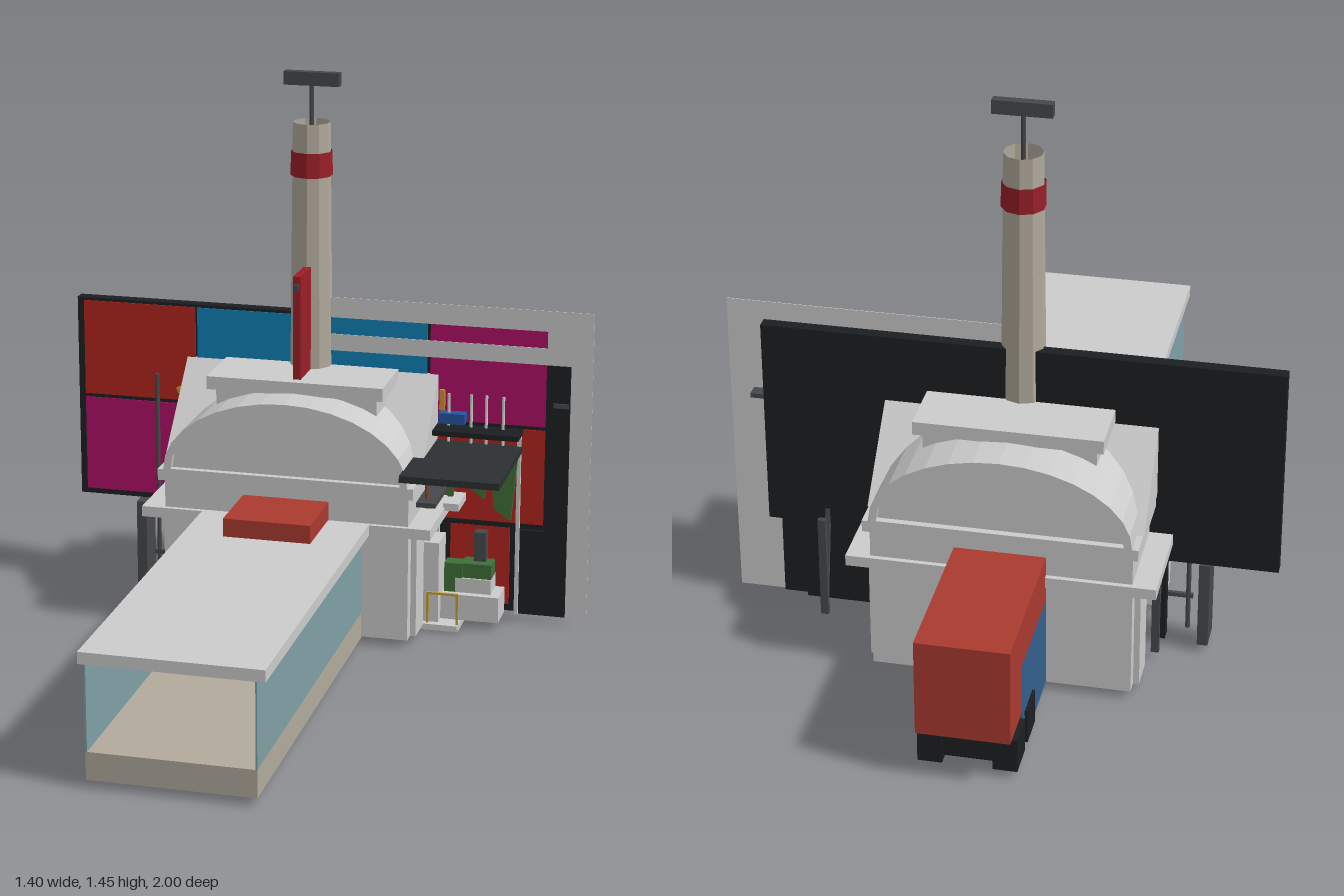
import * as THREE from 'three';

export function createModel() {
  const root = new THREE.Group();
  const CX = -0.05, CZ = -0.305; // centre of the main building
  const mats = {};
  const mat = (color = 0xcccccc) => (mats[color] ??= new THREE.MeshStandardMaterial({
    color, flatShading: true, side: THREE.DoubleSide }));
  const add = (name, geo, color, parent = root) => {
    const m = new THREE.Mesh(geo, mat(color));
    m.name = name;
    parent.add(m);
    return m;
  };
  // box given by its limits on each axis
  const box = (name, x0, x1, y0, y1, z0, z1, color, parent) => {
    const m = add(name, new THREE.BoxGeometry(x1 - x0, y1 - y0, Math.abs(z1 - z0)), color, parent);
    m.position.set((x0 + x1) / 2, (y0 + y1) / 2, (z0 + z1) / 2);
    return m;
  };
  // box centred on the main building
  const block = (name, hx, y0, y1, hz, color, parent) =>
    box(name, CX - hx, CX + hx, y0, y1, CZ - hz, CZ + hz, color, parent);
  const rod = (name, x, y0, y1, z, r, color, parent) => {
    const m = add(name, new THREE.CylinderGeometry(r, r, y1 - y0, 8), color, parent);
    m.position.set(x, (y0 + y1) / 2, z);
    return m;
  };
  const group = (name) => {
    const g = new THREE.Group();
    g.name = name;
    root.add(g);
    return g;
  };
  const RED = 0xaa3a30, BLACK = 0x1c1f21, DARK = 0x45484a, BEIGE = 0xb2aa9c;
  const GLASS = 0x7fa0a6, GREEN = 0x3f7038, CRIMSON = 0x9a1f28;

  // long glazed hall, open at the front
  const hall = group('hall');
  box('hallBase', -0.255, 0.155, 0.02, 0.09, -0.02, 1, BEIGE, hall);
  box('hallRoof', -0.27, 0.175, 0.305, 0.335, -0.02, 1, undefined, hall);
  for (const x of [-0.255, 0.151]) box('hallGlass', x, x + 0.004, 0.09, 0.305, -0.02, 1, GLASS, hall);

  // vehicle passing through the building
  const truck = group('truck');
  box('truckNose', -0.163, 0.065, 0.09, 0.383, -0.1, 0.165, RED, truck);
  box('truckBody', -0.163, 0.065, 0.26, 0.383, -0.865, -0.1, RED, truck);
  box('truckTail', -0.163, 0.065, 0.13, 0.383, -1, -0.865, RED, truck);
  box('truckSide', -0.163, 0.065, 0.02, 0.26, -0.865, -0.4, 0x33608f, truck);
  for (const z of [-0.79, -0.91]) {
    for (const x of [-0.17, 0.012]) box('wheel', x, x + 0.06, 0.02, 0.11, z - 0.045, z + 0.045, BLACK, truck);
  }
  box('axleBox', -0.13, 0.03, 0.04, 0.13, -0.95, -0.865, BLACK, truck);

  // main building: core, piers and cornices
  const house = group('building');
  block('core', 0.3, 0.02, 0.41, 0.25, undefined, house);
  block('facade', 0.23, 0.02, 0.31, 0.275, undefined, house);
  for (const sx of [-1, 1]) for (const sz of [-1, 1]) {
    const x = CX + sx * 0.255, z = CZ + sz * 0.195;
    box('cornerPier', x - 0.07, x + 0.07, 0.02, 0.305, z - 0.08, z + 0.08, undefined, house);
    box('innerPier', x - 0.085, x + 0.085, 0.02, 0.305, z - 0.045, z + 0.045, undefined, house);
  }
  block('lowerCornice', 0.385, 0.305, 0.333, 0.29, undefined, house);
  block('attic', 0.325, 0.333, 0.41, 0.277, undefined, house);
  block('upperCornice', 0.34, 0.41, 0.44, 0.292, undefined, house);

  // vault with recessed end walls
  const arch = (rx, ry) => {
    const s = new THREE.Shape();
    for (let i = 0; i <= 16; i++) {
      const a = Math.PI * i / 16;
      s[i ? 'lineTo' : 'moveTo'](rx * Math.cos(a), ry * Math.sin(a));
    }
    return s;
  };
  const vaultPart = (name, shape, depth) => {
    const geo = new THREE.ExtrudeGeometry(shape, { depth, bevelEnabled: false });
    add(name, geo, undefined, house).position.set(CX, 0.44, CZ - depth / 2);
  };
  const rim = arch(0.325, 0.2);
  rim.holes.push(arch(0.305, 0.182));
  rim.holes[0].curves.forEach((c) => { c.v1.y += 0.003; c.v2.y += 0.003; });
  vaultPart('vault', rim, 0.585);
  vaultPart('vaultEndWalls', arch(0.31, 0.187), 0.55);

  // cross gable
  const tri = new THREE.Shape([[-0.225, 0.44], [0.225, 0.44], [0, 0.665]].map((p) => new THREE.Vector2(...p)));
  const gable = add('crossGable', new THREE.ExtrudeGeometry(tri, { depth: 0.685, bevelEnabled: false }), undefined, house);
  gable.rotation.y = Math.PI / 2;
  gable.position.set(CX - 0.3425, 0, CZ);
  block('roofPlinth', 0.215, 0.58, 0.64, 0.17, undefined, house);
  block('roofSlab', 0.235, 0.635, 0.67, 0.19, undefined, house);

  // chimney with band and cross bar
  const chimney = group('chimney');
  const tube = (name, r0, r1, y0, y1, color) => {
    const m = add(name, new THREE.CylinderGeometry(r1, r0, y1 - y0, 10, 1, true), color, chimney);
    m.position.set(CX, (y0 + y1) / 2, -0.3);
  };
  tube('stack', 0.056, 0.049, 0.66, 1.32, BEIGE);
  tube('band', 0.055, 0.054, 1.18, 1.245, CRIMSON);
  rod('mast', CX, 1.1, 1.42, -0.3, 0.006, DARK, chimney);
  box('crossBar', -0.122, 0.025, 1.415, 1.45, -0.312, -0.288, DARK, chimney);
  box('fin', -0.059, -0.039, 0.665, 0.945, -0.25, -0.143, CRIMSON, chimney);
  box('finLamp', -0.055, -0.043, 0.91, 0.925, -0.143, -0.133, DARK, chimney);

  // billboard with coloured panels
  const board = group('billboard');
  box('backing', -0.7, 0.605, 0.255, 0.808, -0.338, -0.306, BLACK, board);
  const panels = [
    [-0.682, -0.37, 0.54, 0.8, 0xb3261e], [-0.682, -0.37, 0.27, 0.53, 0xb01068],
    [-0.365, 0.262, 0.54, 0.8, 0x1080b8], [0.27, 0.58, 0.54, 0.8, 0xb01068],
    [-0.365, 0.262, 0.27, 0.53, 0xb3261e], [0.27, 0.58, 0.27, 0.53, 0xb3261e]];
  for (const [x0, x1, y0, y1, c] of panels) box('panel', x0, x1, y0, y1, -0.308, -0.303, c, board);
  box('lowerPanel', 0.33, 0.49, 0.04, 0.255, -0.31, -0.305, 0xb3261e, board);
  box('lowerBacking', 0.3, 0.515, 0.02, 0.255, -0.325, -0.311, BLACK, board);

  // flat grey screen in front of the billboard
  const screen = group('screen');
  box('topBand', 0, 0.7, 0.8, 0.855, -0.302, -0.3, undefined, screen);
  box('middleBand', 0, 0.58, 0.71, 0.755, -0.302, -0.3, undefined, screen);
  box('sideBand', 0.58, 0.7, 0.02, 0.8, -0.302, -0.3, undefined, screen);
  box('screenColumn', 0.58, 0.643, 0.02, 0.71, -0.3, -0.295, BLACK, screen);
  box('screenFoot', 0.515, 0.58, 0.02, 0.255, -0.31, -0.295, BLACK, screen);
  box('bracket', 0.6, 0.64, 0.598, 0.61, -0.335, -0.29, DARK, screen);

  // supports under the billboard
  const supports = group('supports');
  box('post', -0.53, -0.503, 0.02, 0.255, -0.345, -0.265, DARK, supports);
  box('post', -0.42, -0.385, 0.02, 0.255, -0.335, -0.3, BLACK, supports);
  box('signStrip', -0.392, -0.38, 0.07, 0.21, -0.3, -0.29, 0x20a0a8, supports);
  rod('pole', -0.468, 0.02, 0.62, -0.27, 0.006, DARK, supports);
  box('rail', -0.48, -0.39, 0.11, 0.121, -0.275, -0.265, DARK, supports);
  for (const x of [-0.405, 0.45]) {
    box('rearPost', x - 0.01, x + 0.01, 0.02, 0.3, -0.4, -0.386, DARK, supports);
    const strut = box('strut', x - 0.006, x + 0.006, 0.015, 0.305, -0.366, -0.354, DARK, supports);
    strut.rotation.x = 0.2;
  }
  for (const y of [0.57, 0.48]) {
    const arrow = box('arrow', -0.42, -0.385, y, y + 0.014, -0.3, -0.288, 0xd09030, supports);
    arrow.rotation.z = 0.4;
  }

  // kiosk on the left side
  const kiosk = group('kiosk');
  box('canopy', 0.262, 0.52, 0.47, 0.488, -0.295, 0.03, 0x2c3032, kiosk);
  box('upperShelf', 0.265, 0.52, 0.518, 0.532, -0.3, -0.23, BLACK, kiosk);
  box('cornerPost', 0.508, 0.518, 0.02, 0.53, -0.295, -0.285, 0xcccccc, kiosk);
  for (const x of [0.325, 0.385, 0.425, 0.47]) rod('pole', x, 0.48, 0.62, -0.285, 0.004, undefined, kiosk);
  box('blueCrate', 0.3, 0.37, 0.54, 0.568, -0.3, -0.27, 0x2456a0, kiosk);
  box('yellowSign', 0.298, 0.312, 0.57, 0.625, -0.3, -0.29, 0xd09030, kiosk);
  // tapered hanging cloths
  for (const [x, w, y] of [[0.33, 0.045, 0.33], [0.405, 0.075, 0.345], [0.475, 0.08, 0.29]]) {
    const s = new THREE.Shape([[-0.5, 0.47], [0.5, 0.47], [0.3, y], [-0.25, y + 0.03]]
      .map(([u, v]) => new THREE.Vector2(x + u * w, v)));
    add('cloth', new THREE.ExtrudeGeometry(s, { depth: 0.012, bevelEnabled: false }), GREEN, kiosk).position.z = -0.27;
  }
  box('orangeSign', 0.29, 0.342, 0.35, 0.42, -0.285, -0.27, 0xc8701c, kiosk);
  box('counter', 0.28, 0.33, 0.363, 0.376, -0.25, -0.1, DARK, kiosk);
  rod('bottle', 0.3, 0.35, 0.42, -0.14, 0.006, 0x7a4a30, kiosk);
  box('ledge', 0.33, 0.372, 0.325, 0.345, -0.3, -0.2, undefined, kiosk);
  box('cabinet', 0.28, 0.325, 0.02, 0.24, -0.27, -0.18, undefined, kiosk);
  box('bench', 0.325, 0.48, 0.02, 0.09, -0.3, -0.21, undefined, kiosk);
  box('benchStep', 0.36, 0.455, 0.09, 0.13, -0.3, -0.23, undefined, kiosk);
  box('planter', 0.33, 0.378, 0.09, 0.17, -0.27, -0.23, GREEN, kiosk);
  box('planter', 0.375, 0.455, 0.13, 0.17, -0.29, -0.235, GREEN, kiosk);
  box('bin', 0.403, 0.435, 0.17, 0.25, -0.29, -0.26, DARK, kiosk);
  // thin yellow frame
  for (const x of [0.295, 0.374]) box('frameLeg', x, x + 0.006, 0.02, 0.106, -0.176, -0.17, 0xc0a040, kiosk);
  box('frameTop', 0.295, 0.38, 0.1, 0.106, -0.176, -0.17, 0xc0a040, kiosk);

  // ground plates
  box('groundPlate', -0.05, 0.38, 0.01, 0.02, -0.3, -0.16, undefined, root);
  box('lowerGroundPlate', 0.035, 0.38, 0, 0.01, -0.29, -0.17, undefined, root);
  return root;
}
